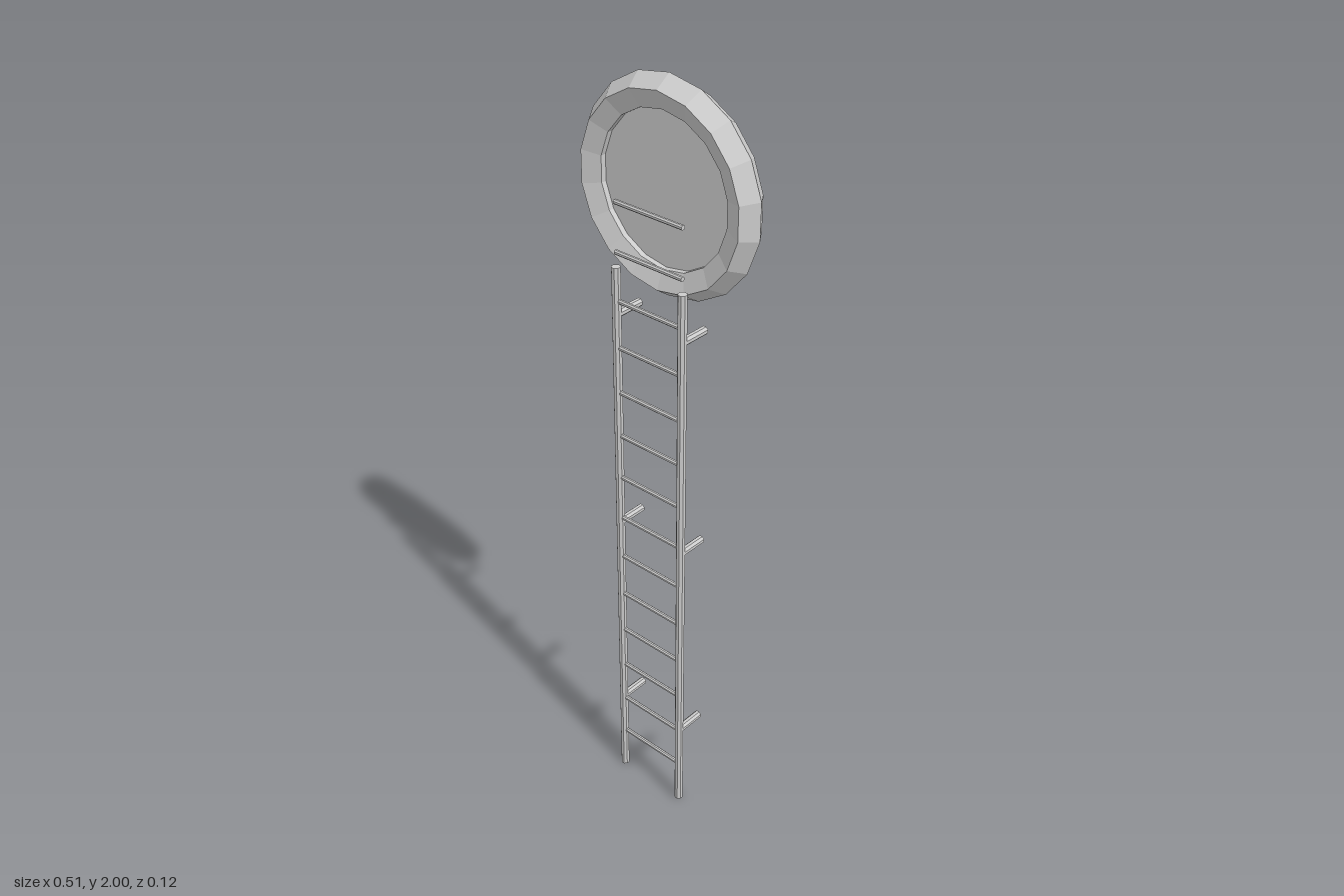
import * as THREE from 'three';

const material = new THREE.MeshStandardMaterial({ color: 0xcccccc, flatShading: true });

// Straight rod centred at a position, lying along the given axis
function rod(name, radius, length, axis, position, sides = 8) {
  const geometry = new THREE.CylinderGeometry(radius, radius, length, sides);
  geometry.rotateY(Math.PI / sides);
  if (axis === 'x') geometry.rotateZ(Math.PI / 2);
  if (axis === 'z') geometry.rotateX(Math.PI / 2);
  const mesh = new THREE.Mesh(geometry, material);
  mesh.name = name;
  mesh.position.set(...position);
  return mesh;
}

// Round hatch: faceted bevelled rim with a thin recessed panel
function createHatch() {
  const hatch = new THREE.Group();
  hatch.name = 'hatch';
  const profile = [
    [0.185, -0.022], [0.231, -0.04], [0.259, 0], [0.231, 0.04],
    [0.185, 0.022], [0.185, -0.022],
  ].map(([r, z]) => new THREE.Vector2(r, z));
  const rimGeometry = new THREE.LatheGeometry(profile, 18);
  rimGeometry.rotateX(Math.PI / 2);
  rimGeometry.rotateZ(Math.PI / 2 + Math.PI / 2); // corners on the x axis
  const rimMaterial = material.clone();
  rimMaterial.side = THREE.DoubleSide;
  const rim = new THREE.Mesh(rimGeometry, rimMaterial);
  rim.name = 'hatchRim';
  const panel = rod('hatchPanel', 0.186, 0.016, 'z', [0, 0, 0], 36);
  hatch.add(rim, panel);
  hatch.position.set(0, 1.745, -0.02);
  return hatch;
}

// Ladder: two rails, wall brackets and rungs continuing over the hatch
function createLadder() {
  const ladder = new THREE.Group();
  ladder.name = 'ladder';
  for (const side of [-1, 1]) {
    const label = side > 0 ? 'left' : 'right';
    ladder.add(rod(label + 'Rail', 0.0115, 1.55, 'y', [side * 0.1, 0.775, 0.047]));
    for (const y of [0.253, 0.842, 1.43]) {
      ladder.add(rod(label + 'Bracket', 0.0105, 0.08, 'z', [side * 0.1, y, 0.01]));
    }
  }
  for (let i = 0; i < 14; i++) {
    ladder.add(rod('rung', 0.0062, 0.2, 'x', [0, 0.127 + i * 0.1216, 0.047]));
  }
  return ladder;
}

export function createModel() {
  const model = new THREE.Group();
  model.name = 'ladderWithHatch';
  model.add(createLadder(), createHatch());
  return model;
}
